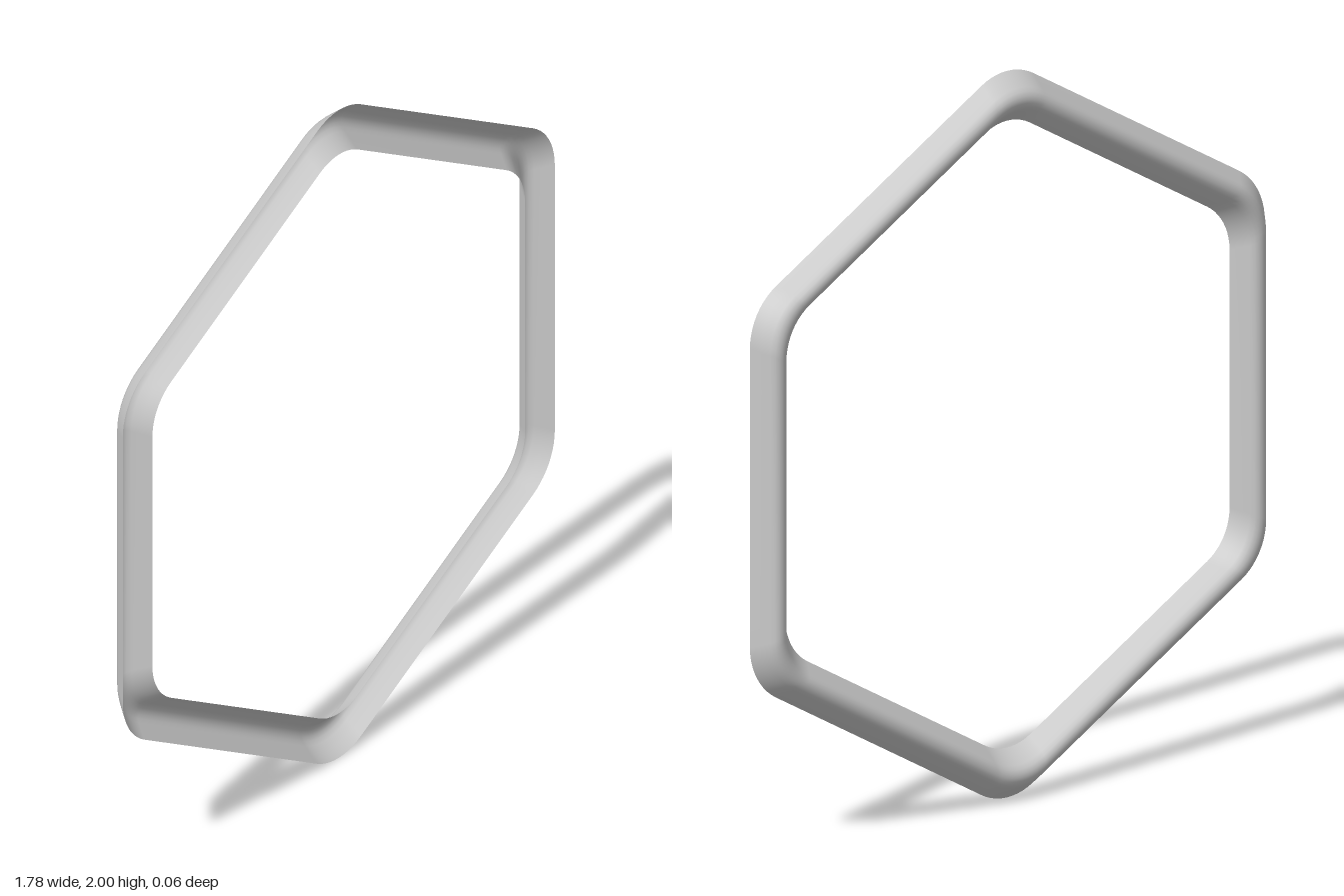
import * as THREE from 'three';

const APOTHEM = 0.89;        // outer half-width of the hexagon
const CORNER = 0.18;         // outer corner radius
const CORNER_STEPS = 10;

// Channel section from outer rim, round the back, to inner rim: [half-width, z]
const SECTION = [
  [0.89, 0.03], [0.873, 0.007], [0.857, -0.014], [0.848, -0.024], [0.838, -0.029],
  [0.829, -0.03],
  [0.82, -0.029], [0.81, -0.024], [0.801, -0.014], [0.785, 0.007], [0.768, 0.03],
];

// Rounded hexagon, point up, counter-clockwise
function hexagonOutline() {
  const points = [];
  const centre = (APOTHEM - CORNER) / Math.cos(Math.PI / 6);
  for (let k = 0; k < 6; k++) {
    const a = Math.PI / 6 + k * Math.PI / 3;
    for (let s = 0; s <= CORNER_STEPS; s++) {
      const t = a + (s / CORNER_STEPS - 0.5) * Math.PI / 3;
      points.push(new THREE.Vector2(
        centre * Math.cos(a) + CORNER * Math.cos(t),
        centre * Math.sin(a) + CORNER * Math.sin(t)));
    }
  }
  return points;
}

// Sweep the section round the outline, scaling the outline for each section point
function channelGeometry() {
  const outline = hexagonOutline();
  const n = outline.length, m = SECTION.length;
  const positions = [], index = [];
  outline.forEach((p, i) => {
    SECTION.forEach(([r, z], j) => {
      const k = r / APOTHEM;
      positions.push(p.x * k, p.y * k + 1, z);
      if (j === m - 1) return;
      const a = i * m + j, b = ((i + 1) % n) * m + j;
      index.push(a, a + 1, b, b, a + 1, b + 1);
    });
  });
  const geometry = new THREE.BufferGeometry();
  geometry.setAttribute('position', new THREE.Float32BufferAttribute(positions, 3));
  geometry.setIndex(index);
  geometry.computeVertexNormals();
  return geometry;
}

export function createModel() {
  const group = new THREE.Group();
  group.name = 'hexagonFrame';
  // Thin open channel, hollow towards the front
  const material = new THREE.MeshStandardMaterial({ color: 0xcccccc, side: THREE.DoubleSide });
  const channel = new THREE.Mesh(channelGeometry(), material);
  channel.name = 'frameChannel';
  group.add(channel);
  return group;
}
